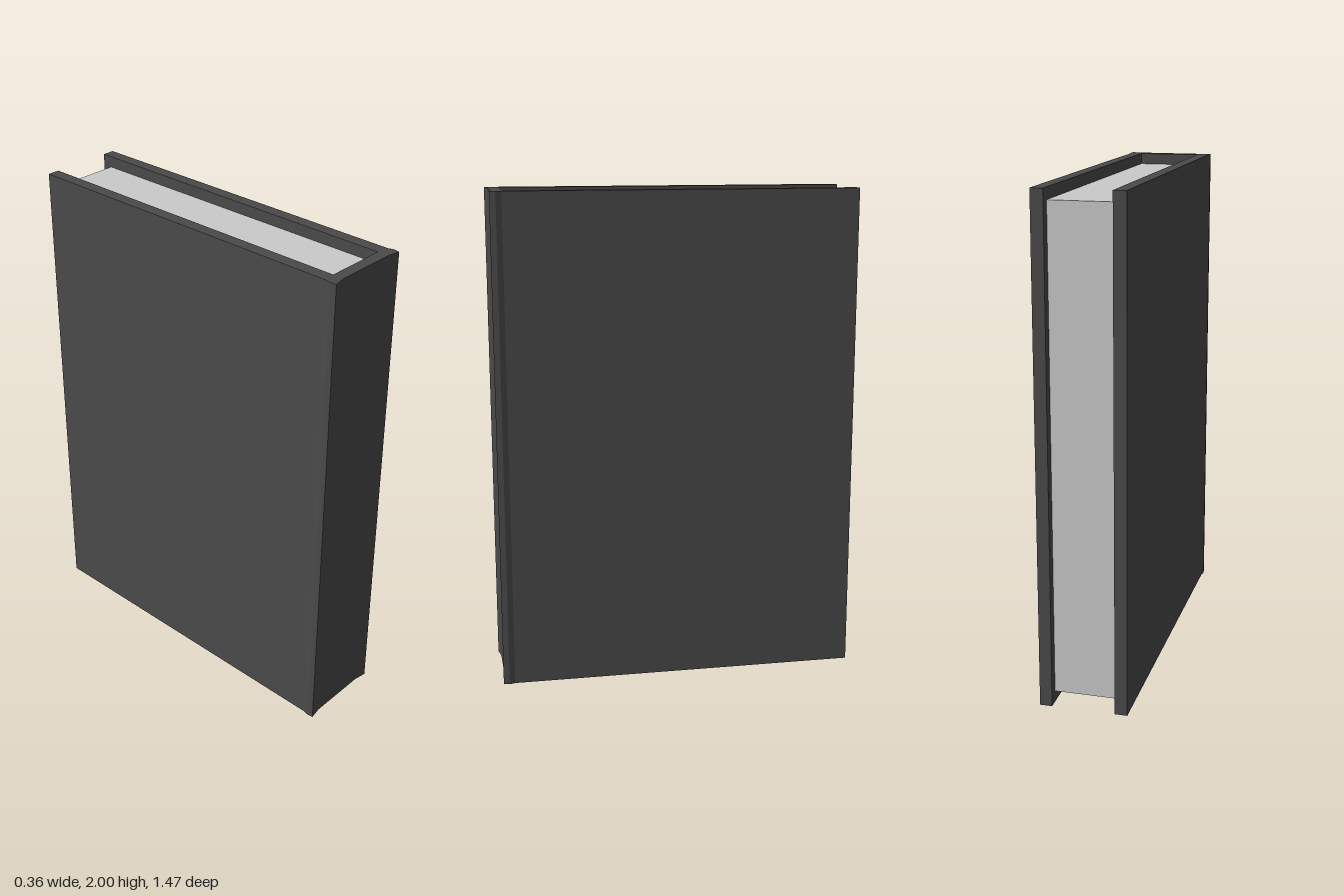
import * as THREE from 'three';

export function createModel() {
  const book = new THREE.Group();
  book.name = 'book';
  const coverMaterial = new THREE.MeshStandardMaterial({ color: 0x4a4a4a });
  coverMaterial.name = 'charcoal cover';
  const paperMaterial = new THREE.MeshStandardMaterial({ color: 0xcacaca });
  paperMaterial.name = 'pale grey paper';

  // Cover: U-shaped outline as [x, z], boards joined by a slightly flared spine
  const outline = [
    [-0.178, -0.735], [-0.128, -0.735], [-0.128, 0.677], [0.124, 0.677],
    [0.124, -0.735], [0.173, -0.735], [0.173, 0.685], [0.18, 0.708],
    [0.176, 0.732], [0.124, 0.723], [-0.128, 0.723], [-0.18, 0.732],
    [-0.183, 0.708], [-0.178, 0.685],
  ];
  const shape = new THREE.Shape(outline.map(([x, z]) => new THREE.Vector2(x, -z)));
  const coverGeometry = new THREE.ExtrudeGeometry(shape, { depth: 2, bevelEnabled: false });
  coverGeometry.rotateX(-Math.PI / 2);
  const cover = new THREE.Mesh(coverGeometry, coverMaterial);
  cover.name = 'cover';
  book.add(cover);

  // Page block, set in from the open edges of the cover
  const pages = new THREE.Mesh(new THREE.BoxGeometry(0.252, 1.91, 1.372), paperMaterial);
  pages.name = 'pages';
  pages.position.set(-0.002, 1, -0.009);
  book.add(pages);

  return book;
}
